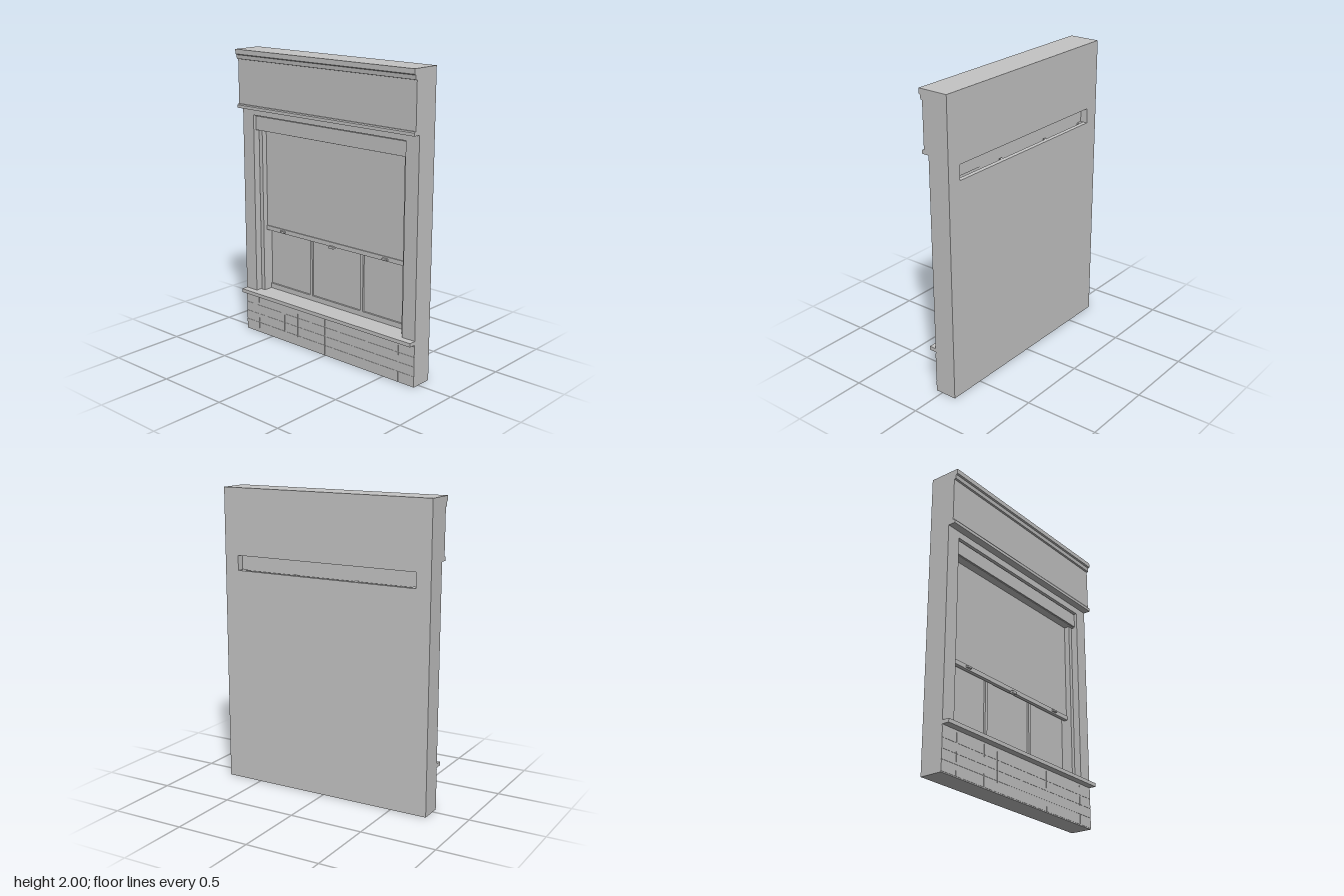
import * as THREE from 'three';

export function createModel() {
  const model = new THREE.Group();
  const grey = new THREE.MeshStandardMaterial({ color: 0xc4c4c4 });
  grey.name = 'plain grey';

  const add = (name, geometry) => {
    const mesh = new THREE.Mesh(geometry, grey);
    mesh.name = name;
    model.add(mesh);
    return mesh;
  };
  // Box given by its limits on each axis
  const box = (name, x0, x1, y0, y1, z0, z1) =>
    add(name, new THREE.BoxGeometry(x1 - x0, y1 - y0, z1 - z0)
      .translate((x0 + x1) / 2, (y0 + y1) / 2, (z0 + z1) / 2));
  // Rectangular wall layer with one rectangular opening
  const rect = (P, x, y0, y1) => new P(
    [[-x, y0], [x, y0], [x, y1], [-x, y1]].map(([a, b]) => new THREE.Vector2(a, b)));
  const layer = (name, holeX, holeY0, holeY1, z0, z1) => {
    const shape = rect(THREE.Shape, 0.75, 0, 2);
    shape.holes.push(rect(THREE.Path, holeX, holeY0, holeY1));
    add(name, new THREE.ExtrudeGeometry(shape, { depth: z1 - z0, bevelEnabled: false }).translate(0, 0, z0));
  };

  // Wall: front layer with window opening, back layer with shutter slot
  layer('wallFront', 0.65, 0.31, 1.56, -0.075, 0.045);
  layer('wallBack', 0.65, 1.455, 1.555, -0.105, -0.075);

  // Moulded cornice and fascia, a (z, y) profile run along x
  const profile = [
    [0.045, 1.605], [0.095, 1.605], [0.095, 1.625], [0.09, 1.632], [0.08, 1.632],
    [0.08, 1.932], [0.092, 1.935], [0.095, 1.962], [0.105, 1.968], [0.105, 2], [0.045, 2],
  ].map(([z, y]) => new THREE.Vector2(-z, y));
  add('corniceAndFascia', new THREE.ExtrudeGeometry(new THREE.Shape(profile), { depth: 1.5, bevelEnabled: false })
    .rotateY(Math.PI / 2).translate(-0.75, 0, 0));

  // Shutter housing at the head of the opening
  box('shutterHousing', -0.65, 0.65, 1.455, 1.56, -0.055, 0.02);
  box('housingCover', -0.643, 0.643, 1.458, 1.553, 0.02, 0.03);

  // Guide rails, stepped on the inner side
  for (const s of [-1, 1]) {
    const side = s > 0 ? 'left' : 'right';
    const rail = (name, a, b, z) =>
      box(side + name, Math.min(s * a, s * b), Math.max(s * a, s * b), 0.31, 1.456, -0.075, z);
    rail('GuideRail', 0.612, 0.642, 0.003);
    rail('RailSeal', 0.642, 0.65, -0.005);
  }

  // Lowered shutter with end bar and small stops
  box('shutterCurtain', -0.613, 0.613, 0.775, 1.456, -0.05, -0.035);
  box('shutterEndBar', -0.613, 0.613, 0.748, 0.778, -0.055, -0.028);
  for (const x of [-0.45, 0.45]) box('shutterStop', x - 0.02, x + 0.02, 0.756, 0.768, -0.03, -0.012);
  box('shutterHandle', -0.02, 0.02, 0.738, 0.754, -0.04, -0.012);

  // Window frame in front of the three panes
  box('frameBottom', -0.613, 0.613, 0.31, 0.345, -0.076, -0.062);
  for (const x of [-0.225, 0.225]) box('mullion', x - 0.011, x + 0.011, 0.345, 1.456, -0.076, -0.062);

  // Sill
  box('windowSill', -0.75, 0.75, 0.285, 0.31, 0.04, 0.093);

  // Thin cladding tiles below the sill
  const joints = [-0.75, -0.625, -0.375, -0.25, 0, 0.25, 0.625, 0.75];
  const rows = [0.005, 0.075, 0.14, 0.205, 0.275];
  const gap = 0.002;
  for (let r = 0; r < rows.length - 1; r++) {
    for (let i = 0; i < joints.length - 1; i++) {
      const x0 = joints[i] + (i ? gap : 0);
      const x1 = joints[i + 1] - (i < joints.length - 2 ? gap : 0);
      box('claddingTile', x0, x1, rows[r] + gap, rows[r + 1] - gap, 0.044, 0.047);
    }
  }
  return model;
}
